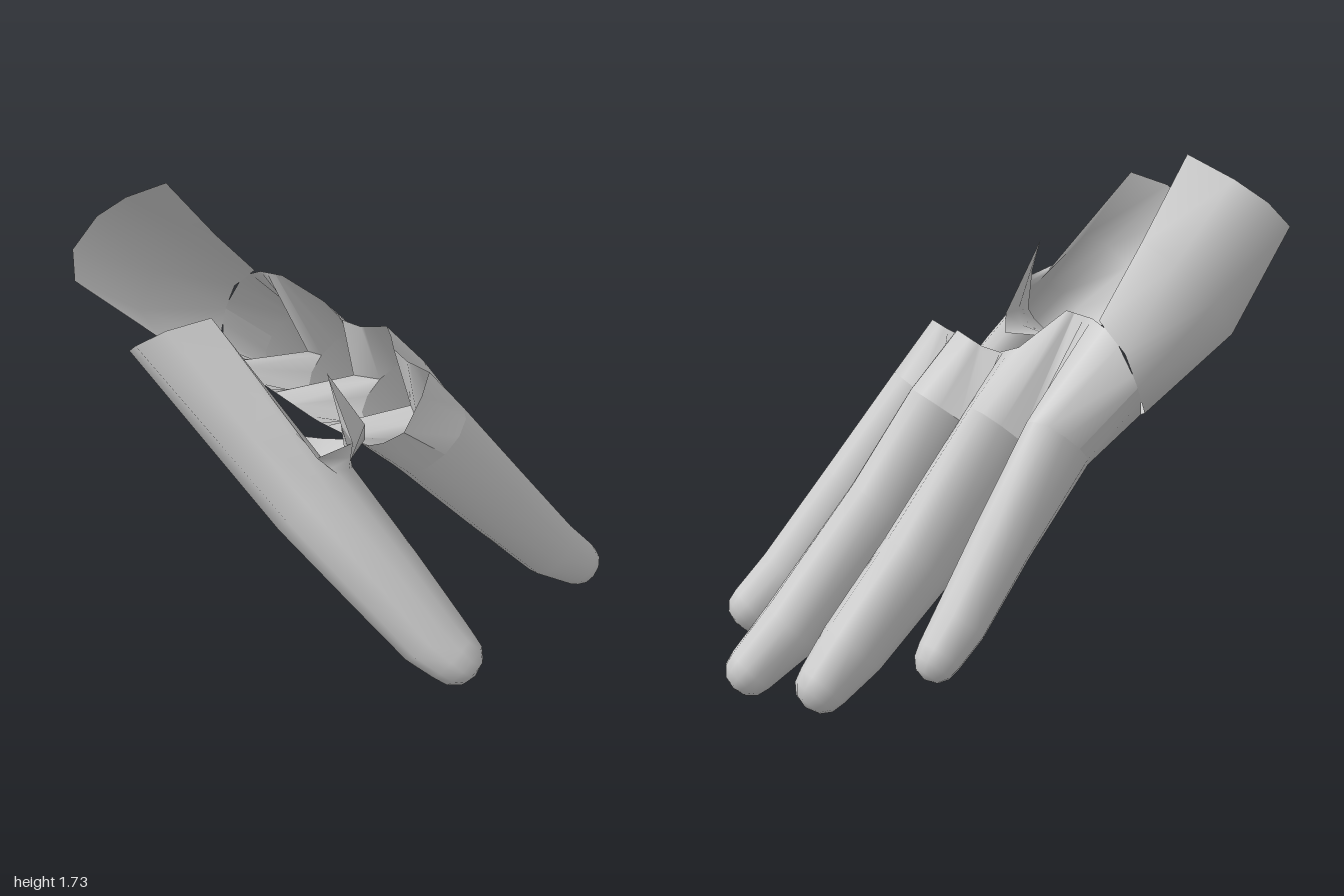
import * as THREE from 'three';
import { mergeVertices } from 'three/addons/utils/BufferGeometryUtils.js';

const V = (p) => new THREE.Vector3(p[0], p[1], p[2]);
const material = new THREE.MeshStandardMaterial({ color: 0xcccccc, side: THREE.DoubleSide });

// Skin a surface over rows of points; closed rows wrap around.
function loft(name, rows, closed = false) {
  const n = rows[0].length;
  const index = [];
  for (let r = 0; r + 1 < rows.length; r++) {
    for (let i = 0; i < (closed ? n : n - 1); i++) {
      const j = (i + 1) % n;
      const a = r * n + i, b = r * n + j, c = a + n, d = b + n;
      index.push(a, c, b, b, c, d);
    }
  }
  let geo = new THREE.BufferGeometry().setFromPoints(rows.flat());
  geo.setIndex(index);
  geo = mergeVertices(geo, 1e-4);
  geo.computeVertexNormals();
  const mesh = new THREE.Mesh(geo, material);
  mesh.name = name;
  return mesh;
}

// Oval rings along a digit; stations are [x, y, z, halfWidth, halfHeight].
// Angles run from the back of the digit (0) towards its +z / outer side.
function digitRings(stations, angles, tipLength) {
  const centres = stations.map(V);
  const rings = [];
  const addRing = (c, d, w, h) => {
    const up = new THREE.Vector3(0, 1, 0).addScaledVector(d, -d.y).normalize();
    const side = new THREE.Vector3().crossVectors(d, up);
    rings.push(angles.map((a) => {
      const t = THREE.MathUtils.degToRad(a);
      return c.clone().addScaledVector(up, h * Math.cos(t)).addScaledVector(side, w * Math.sin(t));
    }));
  };
  let dir;
  stations.forEach((s, i) => {
    const from = centres[Math.max(i - 1, 0)];
    const to = centres[Math.min(i + 1, centres.length - 1)];
    dir = to.clone().sub(from).normalize();
    addRing(centres[i], dir, s[3], s[4]);
  });
  // rounded tip
  const last = stations[stations.length - 1];
  for (const [along, scale] of [[0.5, 0.87], [0.85, 0.55], [1, 0.0]]) {
    const c = centres[centres.length - 1].clone().addScaledVector(dir, along * tipLength);
    addRing(c, dir, last[3] * scale, last[4] * scale);
  }
  return rings;
}

// Point on an edge polyline (sorted by z) at a given z.
function edgeAt(edge, z) {
  const k = THREE.MathUtils.clamp(z, edge[0][2], edge[edge.length - 1][2]);
  let i = 0;
  while (i < edge.length - 2 && edge[i + 1][2] < k) i++;
  const a = V(edge[i]), b = V(edge[i + 1]);
  return a.lerp(b, (k - a.z) / (b.z - a.z));
}

const FINGERS = [
  ['littleFinger', [[-0.03, 0.9, -0.765, 0.095, 0.125], [0.18, 0.63, -0.845, 0.085, 0.1],
    [0.33, 0.42, -0.9, 0.08, 0.085], [0.4, 0.34, -0.925, 0.068, 0.072]]],
  ['ringFinger', [[0.06, 0.89, -0.54, 0.1, 0.15], [0.36, 0.52, -0.59, 0.1, 0.13],
    [0.58, 0.28, -0.63, 0.095, 0.11], [0.68, 0.18, -0.65, 0.08, 0.085]]],
  ['middleFinger', [[0.14, 0.9, -0.24, 0.11, 0.155], [0.36, 0.6, -0.245, 0.105, 0.14],
    [0.68, 0.23, -0.25, 0.105, 0.11], [0.82, 0.1, -0.25, 0.085, 0.085]]],
  ['indexFinger', [[0.1, 0.89, 0.085, 0.115, 0.155], [0.36, 0.57, 0.115, 0.105, 0.135],
    [0.6, 0.28, 0.145, 0.1, 0.115], [0.73, 0.17, 0.155, 0.085, 0.09]]],
];

// Open edges across the knuckles and across the palm
const KNUCKLE_EDGE = [[-0.25, 1.07, -0.85], [-0.22, 1.17, -0.82], [-0.175, 1.26, -0.73],
  [-0.115, 1.28, -0.59], [0.015, 1.165, -0.565], [0.04, 1.12, -0.4], [0.11, 1.18, -0.235],
  [0.06, 1.14, -0.1], [0.08, 1.165, 0.1], [0, 1.1, 0.17], [-0.07, 1.02, 0.19]];
const PALM_EDGE = [[-0.25, 1.07, -0.85], [-0.3, 0.98, -0.8], [-0.275, 0.91, -0.6],
  [-0.2, 0.9, -0.2], [-0.14, 0.93, 0.1], [-0.07, 1.02, 0.19]];

// Outer side of the hand, wrist to knuckle, each row from back edge to palm edge
const HAND_SIDE = [
  [[-0.56, 1.745, -0.535], [-0.66, 1.67, -0.66], [-0.75, 1.6, -0.715], [-0.86, 1.52, -0.67], [-0.905, 1.47, -0.535]],
  [[-0.36, 1.48, -0.63], [-0.42, 1.42, -0.745], [-0.53, 1.31, -0.8], [-0.62, 1.2, -0.75], [-0.62, 1.17, -0.565]],
  [[-0.175, 1.26, -0.73], [-0.22, 1.17, -0.82], [-0.25, 1.07, -0.85], [-0.3, 0.98, -0.8], [-0.275, 0.91, -0.6]],
];

// Thumb: open edge at its root, and the angle each edge point meets on the digit
const THUMB_EDGE = [[-0.755, 1.655, 0.27], [-0.87, 1.61, 0.2], [-0.925, 1.52, 0.08], [-0.89, 1.415, -0.09],
  [-0.71, 1.22, 0], [-0.5, 1.09, 0.08], [-0.36, 1.075, 0.17], [-0.25, 1.08, 0.25],
  [-0.26, 1.15, 0.27], [-0.42, 1.41, 0.33], [-0.42, 1.25, 0.49], [-0.58, 1.29, 0.57]];
const THUMB_ANGLES = [25, 55, 90, 135, 175, 205, 235, 265, 285, 315, 340, 360];
const THUMB = [[-0.56, 1.11, 0.51, 0.15, 0.14], [-0.44, 0.9, 0.71, 0.13, 0.12],
  [-0.35, 0.74, 0.85, 0.115, 0.1], [-0.31, 0.69, 0.91, 0.095, 0.085]];

export function createModel() {
  const group = new THREE.Group();

  // Fingers, collecting the upper and lower half of each base ring
  const angles = Array.from({ length: 12 }, (_, k) => -90 + 30 * k);
  const upper = [], lower = [];
  for (const [name, stations] of FINGERS) {
    const rings = digitRings(stations, angles, 0.08);
    group.add(loft(name, rings, true));
    for (let k = 0; k <= 6; k++) {
      upper.push(rings[0][k]);
      lower.push(rings[0][(12 - k) % 12]);
    }
  }

  // Knuckles and palm run from the open edges to the finger bases and webs
  group.add(loft('knuckles', [upper.map((p) => edgeAt(KNUCKLE_EDGE, p.z)), upper]));
  group.add(loft('palm', [lower, lower.map((p) => edgeAt(PALM_EDGE, p.z))]));
  group.add(loft('handSide', HAND_SIDE.map((row) => row.map(V))));

  // Thumb with its flared root, the middle row easing into the digit
  const rings = digitRings(THUMB, THUMB_ANGLES, 0.09);
  const edge = THUMB_EDGE.map(V);
  const flare = edge.map((p, i) => p.clone().lerp(rings[0][i], 0.55));
  group.add(loft('thumb', [edge, flare, ...rings], true));

  return group;
}
